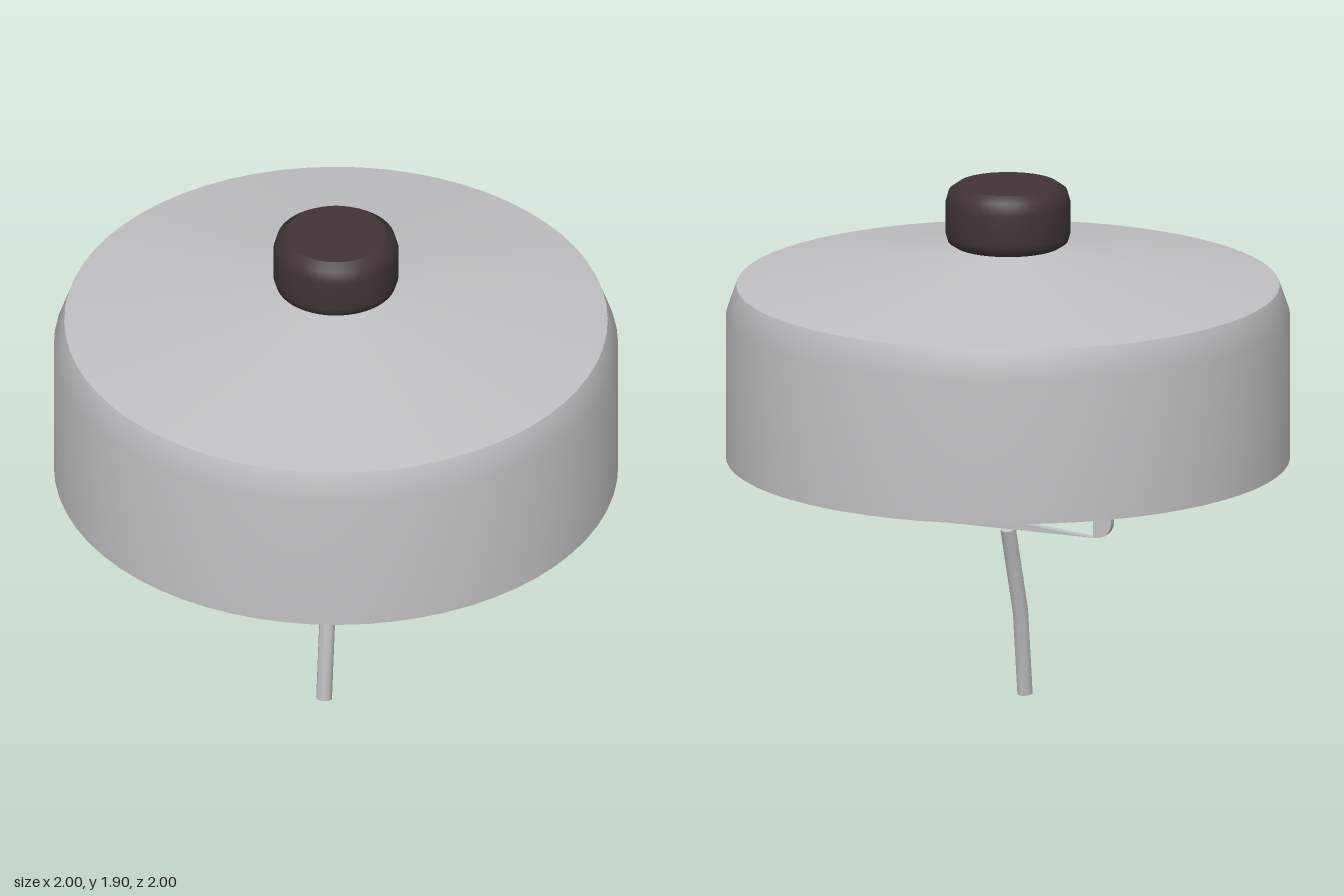
import * as THREE from 'three';

const steel = new THREE.MeshStandardMaterial({ color: 0xc0c0c2, side: THREE.DoubleSide });
steel.name = 'brushed steel';
const darkPlastic = new THREE.MeshStandardMaterial({ color: 0x403334 });
darkPlastic.name = 'dark brown plastic';

export function createModel() {
  const model = new THREE.Group();

  const add = (name, geometry, material, parent = model) => {
    const mesh = new THREE.Mesh(geometry, material);
    mesh.name = name;
    parent.add(mesh);
    return mesh;
  };
  const lathe = (points, segments = 64) =>
    new THREE.LatheGeometry(points.map(([r, y]) => new THREE.Vector2(r, y)), segments);

  // Drum: separate surfaces keep the rims sharp
  add('drumBase', lathe([[0, 0.9], [1, 0.9]]), steel);
  add('drumWall', lathe([[1, 0.9], [1, 1.42], [0.963, 1.527]]), steel);
  add('drumLid', lathe([[0.963, 1.527], [0.1, 1.682], [0, 1.682]]), steel);

  // Top knob with rounded rims
  add('knobSide', lathe([[0, 1.675], [0.19, 1.675], [0.213, 1.69], [0.222, 1.72],
    [0.222, 1.83], [0.21, 1.872], [0.178, 1.895]], 48), darkPlastic);
  add('knobTop', lathe([[0.178, 1.895], [0, 1.895]], 48), darkPlastic);

  // Boss under the drum
  add('bossFace', lathe([[0, 0.825], [0.158, 0.825]], 48), steel);
  add('bossSide', lathe([[0.158, 0.825], [0.165, 0.832], [0.165, 0.9]], 48), steel);

  // Hanging bracket, thin along z
  const bracket = new THREE.Group();
  bracket.name = 'bracket';
  model.add(bracket);
  const depth = 0.028;
  const plate = (name, shape) => {
    const geometry = new THREE.ExtrudeGeometry(shape, { depth, bevelEnabled: false, curveSegments: 8 });
    add(name, geometry.translate(0, 0, -depth / 2), steel, bracket);
  };

  const arm = new THREE.Shape();
  arm.moveTo(-0.335, 0.9);
  arm.lineTo(-0.405, 0.9);
  arm.lineTo(-0.405, 0.71);
  arm.quadraticCurveTo(-0.405, 0.64, -0.335, 0.64);
  plate('bracketArm', arm);

  const wedge = new THREE.Shape();
  wedge.moveTo(-0.335, 0.64);
  wedge.lineTo(0.335, 0.64);
  wedge.quadraticCurveTo(0.405, 0.64, 0.405, 0.71);
  plate('bracketWedge', wedge);

  const sliver = new THREE.Shape();
  sliver.moveTo(0.405, 0.74);
  sliver.lineTo(0.405, 0.9);
  sliver.lineTo(0.396, 0.9);
  plate('bracketEdge', sliver);

  // Sheet walls lying across the bracket's depth
  const strip = (name, x, y, length, upright) => {
    const geometry = new THREE.PlaneGeometry(length, depth).rotateX(-Math.PI / 2);
    if (upright) geometry.rotateZ(Math.PI / 2);
    add(name, geometry.translate(x, y, 0), steel, bracket);
  };
  strip('bracketOuterWall', 0.405, 0.805, 0.19, true);
  strip('innerLoopBottom', 0, 0.755, 0.4, false);
  for (const side of [-1, 1]) strip('innerLoopSide', side * 0.203, 0.82, 0.13, true);

  // Bent rod: bend a cylinder's three rings along the path
  const rod = new THREE.CylinderGeometry(0.029, 0.029, 1, 8, 2);
  const path = [[0.15, 0.004, 0.16], [0.11, 0.31, 0.23], [0, 0.64, 0.32]]; // z, y, tilt
  const position = rod.attributes.position;
  for (let i = 0; i < position.count; i++) {
    const [z, y, tilt] = path[Math.round((position.getY(i) + 0.5) * 2)];
    const offset = position.getZ(i);
    position.setY(i, y + offset * Math.sin(tilt));
    position.setZ(i, z + offset * Math.cos(tilt));
  }
  rod.computeVertexNormals();
  add('bentRod', rod, steel);

  return model;
}
